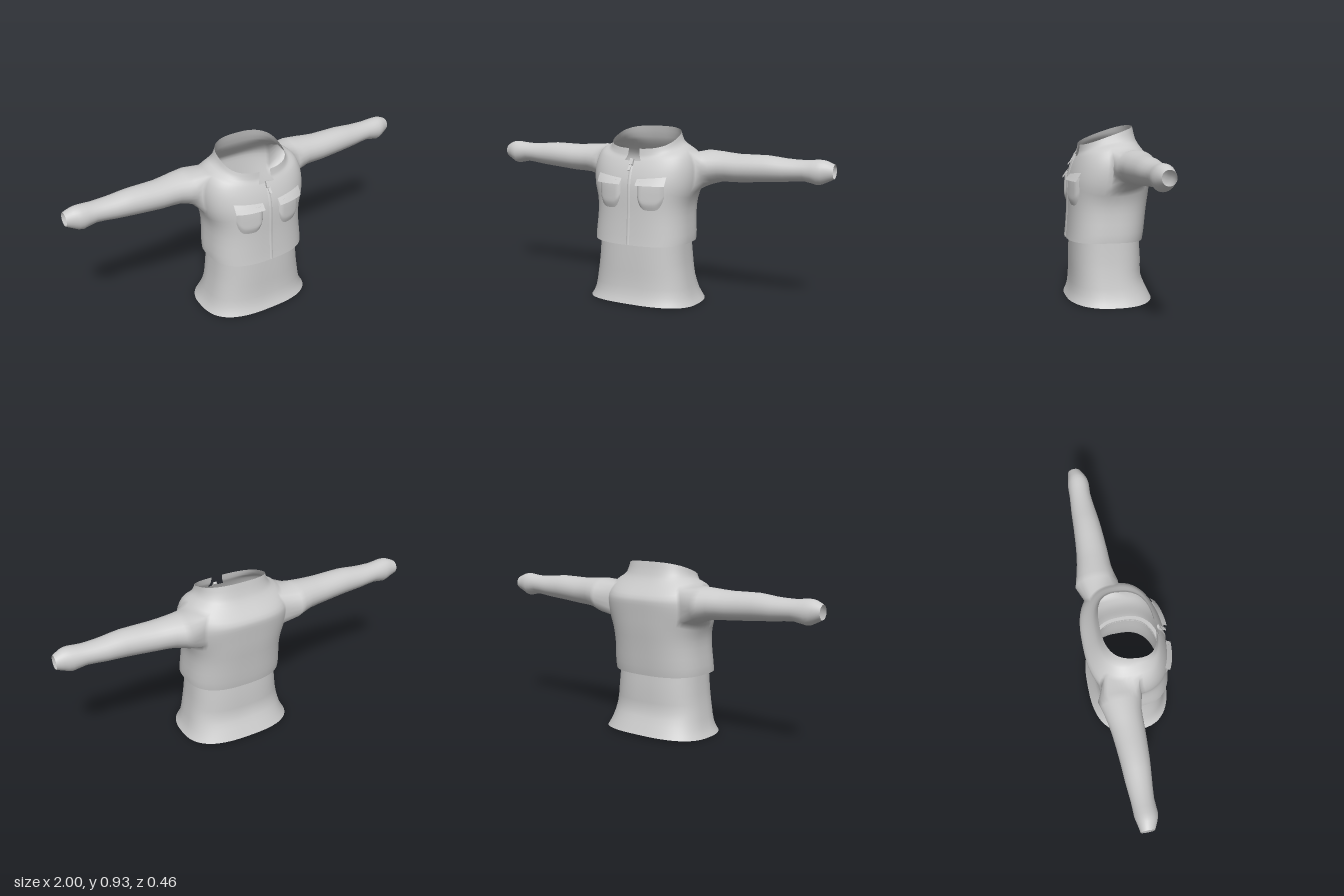
import * as THREE from 'three';

const N = 64; // points around each body ring
const P = 0.75; // squareness of body rings
const mat = new THREE.MeshStandardMaterial({ color: 0xcccccc, side: THREE.DoubleSide });
const spow = (v, p) => Math.sign(v) * Math.pow(Math.abs(v), p);
const lerp = THREE.MathUtils.lerp;

function makeMesh(name, pos, idx) {
  const g = new THREE.BufferGeometry();
  g.setAttribute('position', new THREE.Float32BufferAttribute(pos, 3));
  g.setIndex(idx);
  g.computeVertexNormals();
  const m = new THREE.Mesh(g, mat);
  m.name = name;
  return m;
}

// ring row: [front y, side y, back y, half width, front z, back z]
function ringPoint([yF, yS, yB, hw, zf, zb], i) {
  const a = (i / N) * Math.PI * 2;
  const c = spow(Math.cos(a), P), s = spow(Math.sin(a), P);
  const y = yS + ((yF - yB) / 2) * c + ((yF + yB) / 2 - yS) * c * c;
  return [hw * s, y, (zf + zb) / 2 + ((zf - zb) / 2) * c];
}

// doubles the number of rows along a smooth curve
function refine(rows) {
  const at = (j) => rows[Math.max(0, Math.min(rows.length - 1, j))];
  return rows.flatMap((r, j) => j === rows.length - 1 ? [r] : [r,
    r.map((v, k) => (-at(j - 1)[k] + 9 * v + 9 * at(j + 1)[k] - at(j + 2)[k]) / 16)]);
}

const at = (j, i) => j * N + ((i + N) % N);

function ringBody(rows, skip = () => false) {
  const pos = [], idx = [];
  rows.forEach((r) => { for (let i = 0; i < N; i++) pos.push(...ringPoint(r, i)); });
  for (let j = 0; j < rows.length - 1; j++)
    for (let i = 0; i < N; i++) {
      if (skip(j, i)) continue;
      const a = at(j, i), b = at(j, i + 1), c = at(j + 1, i + 1), d = at(j + 1, i);
      idx.push(a, b, c, a, c, d);
    }
  return { pos, idx };
}

const jacketRows = refine([
  [0.33, 0.335, 0.33, 0.27, 0.225, -0.18],
  [0.38, 0.38, 0.38, 0.27, 0.22, -0.188],
  [0.49, 0.48, 0.49, 0.262, 0.213, -0.2],
  [0.58, 0.55, 0.58, 0.267, 0.212, -0.212],
  [0.65, 0.605, 0.66, 0.285, 0.208, -0.22],
  [0.70, 0.675, 0.71, 0.295, 0.196, -0.225],
  [0.74, 0.75, 0.745, 0.29, 0.182, -0.224],
  [0.77, 0.81, 0.78, 0.265, 0.168, -0.2],
  [0.785, 0.835, 0.82, 0.23, 0.16, -0.17],
  [0.80, 0.85, 0.865, 0.197, 0.155, -0.145],
  [0.832, 0.885, 0.93, 0.182, 0.15, -0.13],
]);

// sleeve stations: [x, bottom y, top y, back z, front z]
const sleeveRows = refine([
  [0.32, 0.63, 0.82, -0.205, 0.022],
  [0.4, 0.655, 0.815, -0.185, 0.003],
  [0.5, 0.66, 0.808, -0.167, 0],
  [0.65, 0.672, 0.81, -0.155, -0.008],
  [0.75, 0.68, 0.8, -0.15, -0.018],
  [0.85, 0.69, 0.797, -0.142, -0.028],
  [0.92, 0.676, 0.804, -0.14, -0.024],
  [0.96, 0.69, 0.8, -0.132, -0.035],
  [1, 0.71, 0.782, -0.125, -0.055],
]);

// body of the jacket with armholes, front notch, and sleeves grown from the armholes
function buildJacket() {
  const i0 = 15, i1 = 23, j0 = 8, j1 = 14;
  const skip = (j, i) => {
    const m = Math.min(i, N - 1 - i);
    return (j >= j0 && j < j1 && m >= i0 && m < i1) || (j >= j1 && m === 0);
  };
  const { pos, idx } = ringBody(jacketRows, skip);

  for (const side of [1, -1]) {
    const loop = [], angles = [];
    const add = (j, i, corner, f) => {
      loop.push(at(j, side * i));
      angles.push((225 + 90 * (corner + f)) * Math.PI / 180);
    };
    const w = i1 - i0, h = j1 - j0;
    for (let k = 0; k < w; k++) add(j0, i0 + k, 0, k / w);
    for (let k = 0; k < h; k++) add(j0 + k, i1, 1, k / h);
    for (let k = 0; k < w; k++) add(j1, i1 - k, 2, k / w);
    for (let k = 0; k < h; k++) add(j1 - k, i0, 3, k / h);
    let prev = loop;
    for (const [x, yb, yt, zb, zf] of sleeveRows) {
      const ring = angles.map((a) => {
        pos.push(side * x, (yb + yt) / 2 + ((yt - yb) / 2) * Math.sin(a),
          (zb + zf) / 2 - ((zf - zb) / 2) * Math.cos(a));
        return pos.length / 3 - 1;
      });
      ring.forEach((d, k) => {
        const n = (k + 1) % ring.length, a = prev[k], b = prev[n], c = ring[n];
        if (side > 0) idx.push(a, b, c, a, c, d);
        else idx.push(a, c, b, a, d, c);
      });
      prev = ring;
    }
  }
  return makeMesh('jacket', pos, idx);
}

// z of the jacket front at a given x and y
function frontZ(x, y) {
  let j = 0;
  while (j < jacketRows.length - 2 && jacketRows[j + 1][0] < y) j++;
  const a = jacketRows[j], b = jacketRows[j + 1];
  const t = (y - a[0]) / (b[0] - a[0]);
  const hw = lerp(a[3], b[3], t), zf = lerp(a[4], b[4], t), zb = lerp(a[5], b[5], t);
  const r = Math.min(1, Math.abs(x) / hw);
  return (zf + zb) / 2 + ((zf - zb) / 2) * Math.pow(1 - Math.pow(r, 2 / P), P / 2);
}

// patch lying on the jacket front; f(s, t) gives [x, y, lift], s in -1..1, t in 0..1 downwards
function patch(name, nu, nv, f) {
  const pos = [], idx = [];
  for (let j = 0; j <= nv; j++)
    for (let i = 0; i <= nu; i++) {
      const [x, y, lift] = f((2 * i) / nu - 1, j / nv);
      pos.push(x, y, frontZ(x, y) + lift);
    }
  for (let j = 0; j < nv; j++)
    for (let i = 0; i < nu; i++) {
      const a = j * (nu + 1) + i, b = a + 1, d = a + nu + 1, c = d + 1;
      idx.push(a, d, c, a, c, b);
    }
  return makeMesh(name, pos, idx);
}

export function createModel() {
  const model = new THREE.Group();
  model.name = 'outfit';
  model.add(buildJacket());

  // turned-under hem
  const hem = ringBody([[0.335, 0.335, 0.335, 0.244, 0.2, -0.163], jacketRows[0]]);
  model.add(makeMesh('jacketHem', hem.pos, hem.idx));

  // flared skirt
  const skirt = ringBody(refine([
    [0.01, 0, 0.012, 0.312, 0.23, -0.228],
    [0.06, 0.05, 0.07, 0.286, 0.212, -0.2],
    [0.14, 0.14, 0.14, 0.267, 0.205, -0.172],
    [0.23, 0.23, 0.23, 0.254, 0.204, -0.171],
    [0.35, 0.35, 0.35, 0.244, 0.201, -0.163],
  ]));
  model.add(makeMesh('skirt', skirt.pos, skirt.idx));

  // chest pockets with loose flaps
  for (const side of [1, -1]) {
    model.add(patch('pocket', 14, 12, (s, t) => {
      const depth = 0.15 * (1 - 0.45 * Math.pow(Math.abs(s), 4));
      const edge = Math.min(1, 5 * (1 - Math.abs(s)), 5 * (1 - t));
      return [side * 0.12 + 0.07 * s, 0.67 - depth * t, 0.001 + 0.011 * edge];
    }));
    model.add(patch('pocketFlap', 10, 4, (s, t) => [
      side * 0.123 + 0.077 * s,
      lerp(0.688 + 0.008 * s * side, 0.65, t),
      0.003 + 0.021 * t,
    ]));
  }

  // zip strip and teeth
  model.add(patch('zipStrip', 4, 40, (s, t) => [0.009 * s, lerp(0.768, 0.332, t), 0.005 - 0.004 * Math.abs(s)]));
  const zip = new THREE.Group();
  zip.name = 'zipPull';
  const head = new THREE.Mesh(new THREE.BoxGeometry(0.02, 0.035, 0.012), mat);
  head.name = 'zipSlider';
  head.position.set(0, 0.765, 0.178);
  head.rotation.x = -0.45;
  const tab = new THREE.Mesh(new THREE.BoxGeometry(0.014, 0.04, 0.004), mat);
  tab.name = 'zipTab';
  tab.position.set(0, 0.74, 0.198);
  tab.rotation.x = -0.7;
  const ring = new THREE.Mesh(new THREE.TorusGeometry(0.009, 0.002, 6, 16), mat);
  ring.name = 'zipRing';
  ring.position.set(0, 0.758, 0.187);
  ring.rotation.x = -0.6;
  zip.add(head, tab, ring);
  model.add(zip);
  return model;
}
